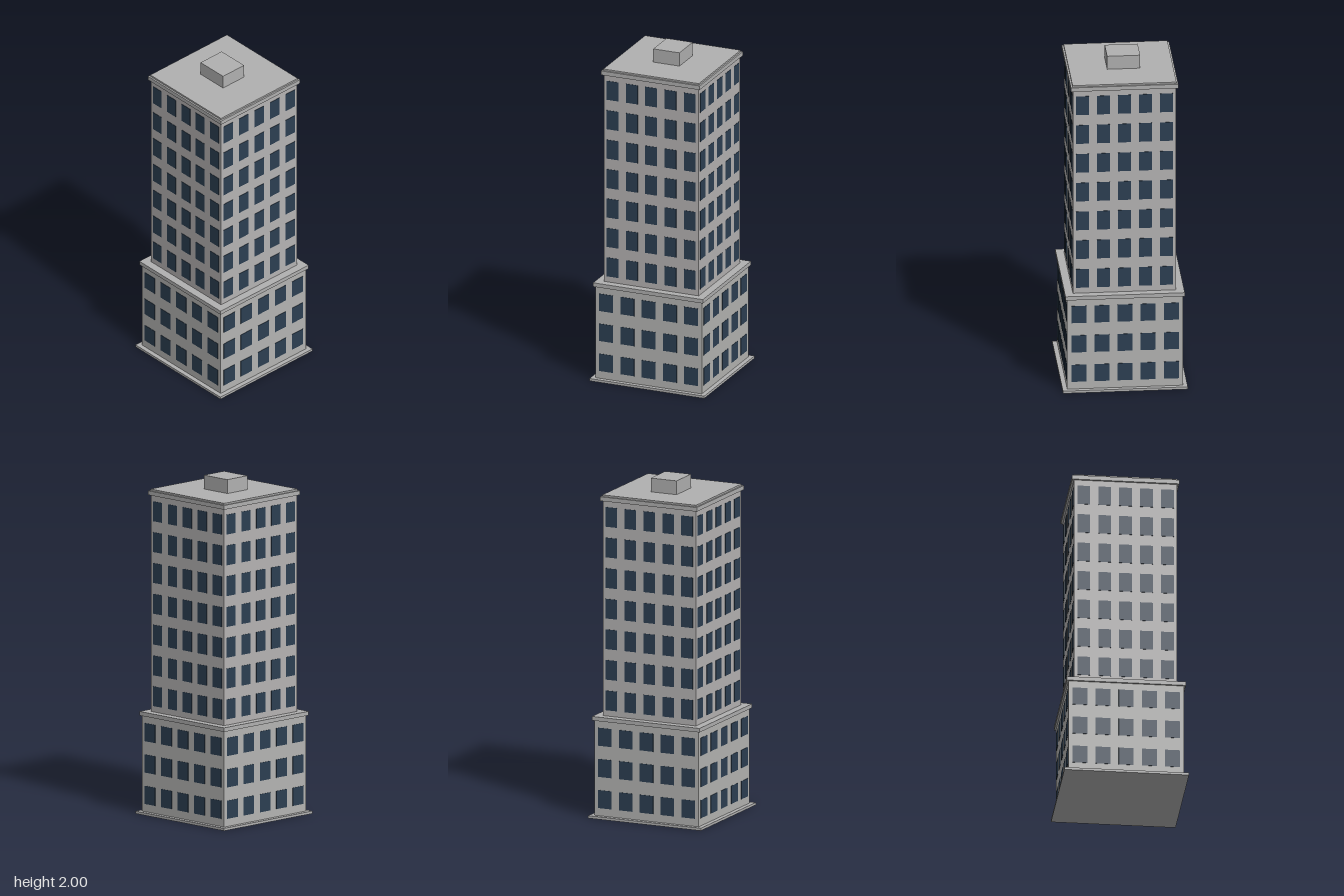
import * as THREE from 'three';
import { mergeGeometries } from 'three/addons/utils/BufferGeometryUtils.js';

const material = (name, color) => {
  const m = new THREE.MeshStandardMaterial({ color });
  m.name = name;
  return m;
};

export function createModel() {
  const baseWall = material('base wall grey', 0xb4b4b2);
  const towerWall = material('tower wall grey', 0xb5b3b3);
  const trim = material('trim grey', 0xb0b0b0);
  const glass = material('dark blue glass', 0x2c3f52);

  const model = new THREE.Group();
  model.name = 'towerBlock';

  // Box between two heights, given half width and z range
  function block(name, mat, half, y0, y1, zBack = -half, zFront = half) {
    const mesh = new THREE.Mesh(new THREE.BoxGeometry(half * 2, y1 - y0, zFront - zBack), mat);
    mesh.position.set(0, (y0 + y1) / 2, (zBack + zFront) / 2);
    mesh.name = name;
    model.add(mesh);
  }

  // Grid of thin window plates repeated on all four walls
  function windows(name, half, { columns, rows, width, height, pitchX, pitchY, firstY }) {
    const panes = [];
    for (let side = 0; side < 4; side++) {
      for (let r = 0; r < rows; r++) {
        for (let c = 0; c < columns; c++) {
          const pane = new THREE.BoxGeometry(width, height, 0.004);
          pane.translate((c - (columns - 1) / 2) * pitchX, firstY + r * pitchY, half);
          pane.rotateY(side * Math.PI / 2);
          panes.push(pane);
        }
      }
    }
    const mesh = new THREE.Mesh(mergeGeometries(panes), glass);
    mesh.name = name;
    model.add(mesh);
  }

  // Wide lower storeys
  block('plinth', trim, 0.363, 0, 0.015);
  block('baseWalls', baseWall, 0.336, 0.015, 0.58);
  block('baseCornice', trim, 0.347, 0.58, 0.604);
  windows('baseWindows', 0.336, {
    columns: 5, rows: 3, width: 0.087, height: 0.107, pitchX: 0.1345, pitchY: 0.1855, firstY: 0.114,
  });

  // Narrower tower
  block('towerWalls', towerWall, 0.3, 0.604, 1.883);
  windows('towerWindows', 0.3, {
    columns: 5, rows: 7, width: 0.074, height: 0.117, pitchX: 0.122, pitchY: 0.182, firstY: 0.697,
  });

  // Roof edge, roof slab and plant room
  block('roofCornice', trim, 0.312, 1.883, 1.908);
  block('roofSlab', trim, 0.302, 1.908, 1.918);
  block('plantRoom', trim, 0.083, 1.918, 2, -0.11, 0.082);

  return model;
}
